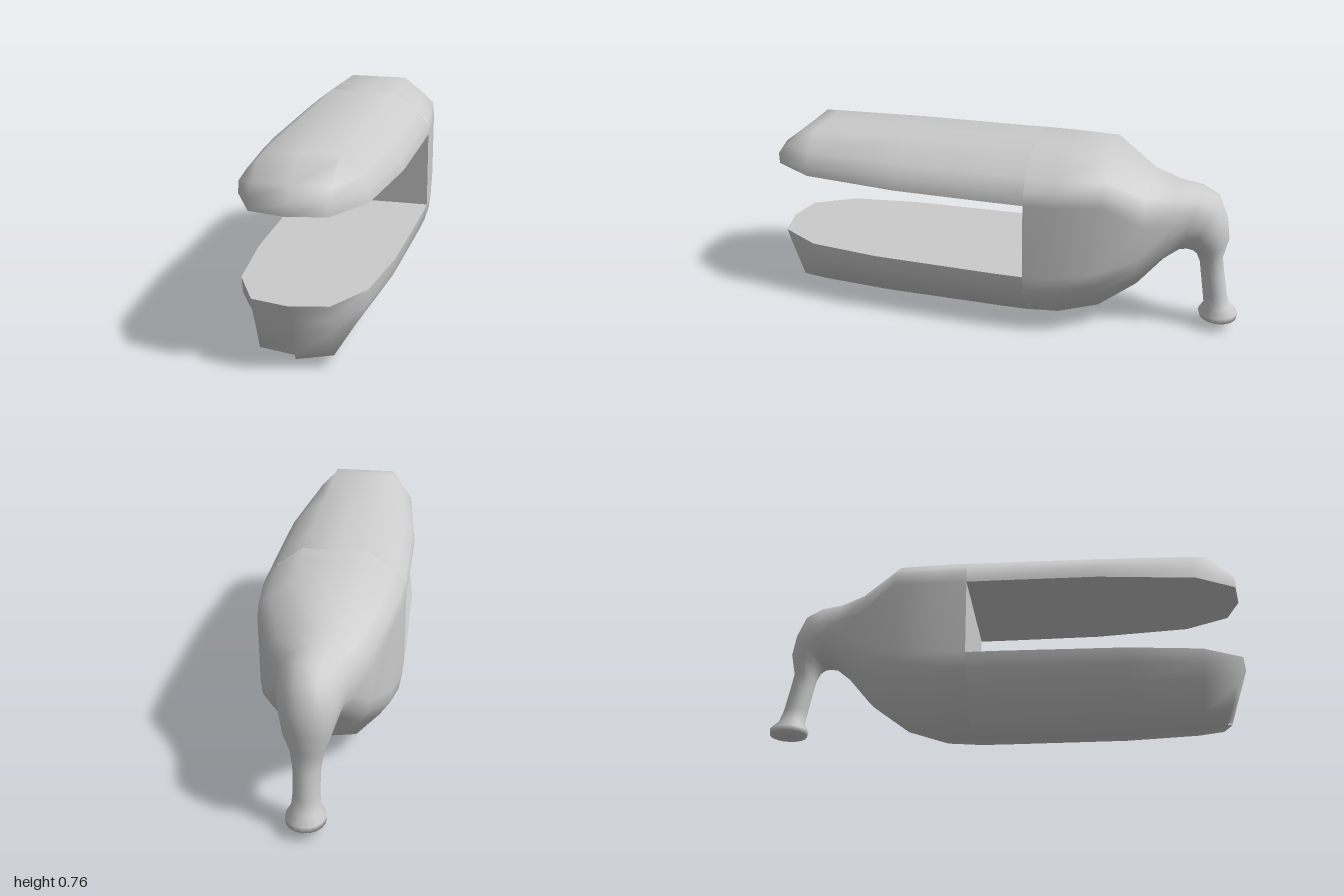
import * as THREE from 'three';
import { mergeVertices } from 'three/addons/utils/BufferGeometryUtils.js';

const grey = new THREE.MeshStandardMaterial({ color: 0xcccccc });
const lerp = THREE.MathUtils.lerp;
const HINGE_Z = -0.14, UPPER_EDGE = 0.59, LOWER_EDGE = 0.27;

function mesh(name, geometry) {
  const m = new THREE.Mesh(geometry, grey);
  m.name = name;
  return m;
}

// Smooth skin through rows of [x, y, z] points
function loft(rows) {
  const n = rows[0].length, index = [];
  for (let i = 0; i < rows.length - 1; i++) {
    for (let j = 0; j < n - 1; j++) {
      const a = i * n + j, b = a + 1, c = a + n, d = c + 1;
      index.push(a, b, c, b, d, c);
    }
  }
  const g = new THREE.BufferGeometry();
  g.setAttribute('position', new THREE.Float32BufferAttribute(rows.flat(2), 3));
  g.setIndex(index);
  const welded = mergeVertices(g, 1e-4);
  welded.computeVertexNormals();
  return welded;
}

// Jaw half section, edge to ridge: [fraction of width, fraction of depth]
const upperHalf = [[1, 0], [0.975, 0.3], [0.82, 0.57], [0.47, 1], [0, 1]];
const lowerHalf = [[1, 0], [0.975, 0.245], [0.82, 0.49], [0.47, 0.92], [0, 1]];

// Stations: [z, half width, ridge height, backward lean of the nose, squareness]
const upperStations = [
  [1, 0, 0.745, 0.14, 1], [0.97, 0.14, 0.745, 0.11, 0.95], [0.8, 0.236, 0.748, 0, 0.2],
  [0.4, 0.28, 0.76, 0, 0], [0, 0.285, 0.762, 0, 0], [HINGE_Z, 0.285, 0.764, 0, 0],
];
const lowerStations = [
  [1, 0, 0.03, 0.08, 1], [0.97, 0.14, 0.035, 0.07, 0.95], [0.8, 0.236, 0.018, 0, 0.15],
  [0.5, 0.272, 0.003, 0, 0], [0, 0.285, 0.005, 0, 0], [HINGE_Z, 0.285, 0.006, 0, 0],
];

// side is +1 for the upper jaw, -1 for the lower jaw
function createJaw(name, half, stations, edge, side) {
  const leanStart = side > 0 ? 0.3 : 0;
  const ring = [
    ...half.map(([u, v]) => [-side * u, v]),
    ...half.slice(0, -1).reverse().map(([u, v]) => [side * u, v]),
  ];
  const rows = stations.map(([z, w, ridge, lean, square]) => ring.map(([u, v]) => [
    w * lerp(u, Math.sign(u), square),
    lerp(edge, ridge, v),
    z - lean * Math.max(0, (v - leanStart) / (1 - leanStart)),
  ]));

  // Flat inner face follows the plan outline of the jaw
  const right = stations.map(([z, w]) => new THREE.Vector2(w, side * z));
  const left = stations.slice(1).reverse().map(([z, w]) => new THREE.Vector2(-w, side * z));
  const inner = new THREE.ShapeGeometry(new THREE.Shape([...right, ...left]));
  inner.rotateX(side * Math.PI / 2).translate(0, edge, 0);

  const jaw = new THREE.Group();
  jaw.name = name;
  jaw.add(mesh(name + 'Shell', loft(rows)), mesh(name + 'InnerFace', inner));
  return jaw;
}

// Rear body section, top to bottom: [fraction of width, fraction of height]
const bodyHalf = [
  [0, 1], [0.47, 1], [0.82, 0.9], [0.975, 0.845], [1, 0.77],
  [1, 0.35], [0.975, 0.265], [0.82, 0.18], [0.47, 0.03], [0, 0],
];

// Stations: [back z, back y, front z, front y, half width, roundness]
const rearStations = [
  [HINGE_Z, 0.764, HINGE_Z, 0.006, 0.285, 0],
  [-0.26, 0.765, -0.26, 0.015, 0.282, 0],
  [-0.45, 0.765, -0.43, 0.07, 0.26, 0],
  [-0.61, 0.665, -0.58, 0.18, 0.2, 0.5],
  [-0.72, 0.64, -0.68, 0.3, 0.15, 1],
  [-0.81, 0.628, -0.74, 0.35, 0.125, 1],
  [-0.88, 0.59, -0.77, 0.355, 0.115, 1],
  [-0.92, 0.5, -0.79, 0.352, 0.1, 1],
  [-0.935, 0.41, -0.808, 0.34, 0.085, 1],
  [-0.917, 0.32, -0.825, 0.3, 0.062, 1],
  [-0.93, 0.25, -0.833, 0.25, 0.052, 1],
  [-0.95, 0.15, -0.85, 0.15, 0.05, 1],
  [-0.967, 0.1, -0.858, 0.1, 0.055, 1],
  [-1, 0.07, -0.838, 0.065, 0.075, 1],
  [-0.998, 0.045, -0.845, 0.045, 0.075, 1],
  [-0.95, 0.034, -0.88, 0.035, 0.04, 1],
  [-0.92, 0.033, -0.92, 0.033, 0, 1],
];

// Body narrowing into a neck that bends down to the flared handle
function createRear() {
  const rows = rearStations.map(([bz, by, fz, fy, w, round]) => {
    const side = bodyHalf.map(([u, v], i) => {
      const a = i * Math.PI / (bodyHalf.length - 1);
      const t = lerp(v, 0.5 + 0.5 * Math.cos(a), round);
      return [w * lerp(u, Math.sin(a), round), lerp(fy, by, t), lerp(fz, bz, t)];
    });
    const mirrored = side.slice(0, -1).reverse().map(([x, y, z]) => [-x, y, z]);
    return [...side, ...mirrored];
  });
  return mesh('rearBodyAndHandle', loft(rows));
}

export function createModel() {
  const model = new THREE.Group();
  model.name = 'clampBody';
  model.add(
    createJaw('upperJaw', upperHalf, upperStations, UPPER_EDGE, 1),
    createJaw('lowerJaw', lowerHalf, lowerStations, LOWER_EDGE, -1),
    createRear(),
  );

  // Flat wall at the back of the slot
  const wall = mesh('slotBackWall', new THREE.PlaneGeometry(0.57, UPPER_EDGE - LOWER_EDGE));
  wall.position.set(0, (UPPER_EDGE + LOWER_EDGE) / 2, HINGE_Z);
  model.add(wall);
  return model;
}
